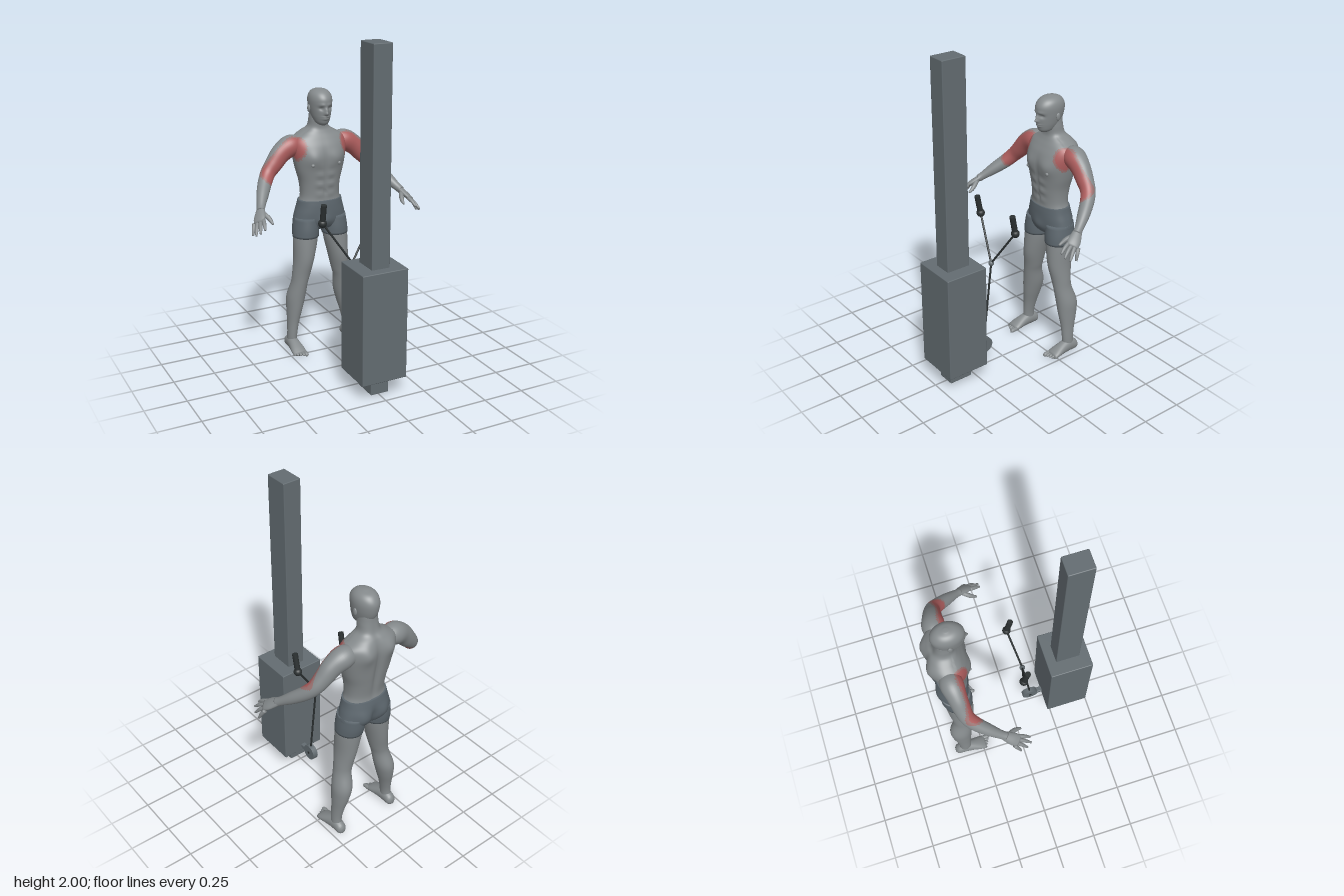
import * as THREE from 'three';
import { RoundedBoxGeometry } from 'three/addons/geometries/RoundedBoxGeometry.js';

const mat = (name, color) => Object.assign(new THREE.MeshStandardMaterial({ color }), { name });
const V = (x, y, z) => new THREE.Vector3(x, y, z);
const X = V(1, 0, 0), Y = V(0, 1, 0), Z = V(0, 0, 1);
const bell = (v, centre, spread) => Math.exp(-(((v - centre) / spread) ** 2));

// Skin over rows of [x, y, z, radiusU, radiusV]. U follows axis; dir fixes the ring plane.
function loft(rows, { axis = X, dir = null, seg = 24, sub = 4, power = 1, shape = null, paint = null } = {}) {
  const path = new THREE.CatmullRomCurve3(rows.map(r => V(r[0], r[1], r[2])), false, 'catmullrom');
  const radii = new THREE.CatmullRomCurve3(rows.map(r => V(r[3], r[4] ?? r[3], 0)), false, 'catmullrom');
  const steps = (rows.length - 1) * sub, pts = [];
  const soft = v => Math.sign(v) * Math.abs(v) ** power;
  for (let i = 0; i <= steps; i++) {
    const c = path.getPoint(i / steps), r = radii.getPoint(i / steps);
    const t = dir ? dir.clone() : path.getTangent(i / steps);
    const u = axis.clone().addScaledVector(t, -axis.dot(t)).normalize();
    const v = t.clone().cross(u);
    for (let j = 0; j < seg; j++) {
      const a = (j / seg) * Math.PI * 2;
      const p = c.clone().addScaledVector(u, soft(Math.cos(a)) * r.x).addScaledVector(v, soft(Math.sin(a)) * r.y);
      if (shape) shape(p);
      pts.push(p);
    }
  }
  const first = pts.length, last = first + 1;
  pts.push(path.getPoint(0), path.getPoint(1));
  const bins = [[], [], []];
  const tri = (a, b, c) => {
    const mid = pts[a].clone().add(pts[b]).add(pts[c]).divideScalar(3);
    bins[paint ? paint(mid) : 0].push(a, b, c);
  };
  for (let j = 0; j < seg; j++) {
    const k = (j + 1) % seg, end = steps * seg;
    for (let i = 0; i < steps; i++) {
      const a = i * seg + j, b = i * seg + k;
      tri(a, b, a + seg);
      tri(b, b + seg, a + seg);
    }
    tri(first, k, j);
    tri(last, end + j, end + k);
  }
  const geo = new THREE.BufferGeometry().setFromPoints(pts);
  geo.setIndex(bins.flat());
  if (paint) {
    let start = 0;
    bins.forEach((b, i) => { geo.addGroup(start, b.length, i); start += b.length; });
  }
  geo.computeVertexNormals();
  return geo;
}

// Horizontal rings from [y, halfWidth, zFront, zBack]
const rings = list => list.map(([y, w, f, b]) => [0, y, (f + b) / 2, w, (f - b) / 2]);

export function createModel() {
  const root = new THREE.Group();
  const skin = mat('skin grey', 0x858a8c), machine = mat('machine grey', 0x636c71);
  const cloth = mat('shorts grey', 0x5c666d), dark = mat('dark rubber', 0x2b3031);
  const red = mat('worked muscle red', 0xab5c5c), pale = mat('muscle edge red', 0x98706f);
  const body = [skin, pale, red];

  const add = (name, geo, material, parent = root) => {
    const m = new THREE.Mesh(geo, material);
    m.name = name;
    parent.add(m);
    return m;
  };
  const rod = (name, a, b, r, material, parent = root) => {
    const m = add(name, new THREE.CylinderGeometry(r, r, a.distanceTo(b), 20), material, parent);
    m.position.copy(a).lerp(b, 0.5);
    m.quaternion.setFromUnitVectors(Y, b.clone().sub(a).normalize());
    return m;
  };
  const ball = (name, p, r, material, scale = [1, 1, 1], parent = root) => {
    const m = add(name, new THREE.SphereGeometry(r, 20, 14), material, parent);
    m.position.copy(p);
    m.scale.set(...scale);
    return m;
  };
  const box = (name, w, h, d, x, y, z) =>
    add(name, new RoundedBoxGeometry(w, h, d, 2, 0.005), machine).position.set(x, y, z);

  // Cable machine
  box('post', 0.112, 1.99, 0.148, 0, 1.005, 0.352);
  box('weightHousing', 0.28, 0.66, 0.264, 0, 0.44, 0.352);
  box('pulleyArm', 0.032, 0.026, 0.09, 0, 0.145, 0.185);
  rod('pulley', V(-0.017, 0.145, 0.14), V(0.017, 0.145, 0.14), 0.05, machine);
  rod('pulleyAxle', V(-0.02, 0.145, 0.14), V(0.02, 0.145, 0.14), 0.008, dark);
  const joint = V(0, 0.69, 0.083);
  rod('mainCable', V(0, 0.16, 0.142), joint, 0.006, dark);
  ball('cableJoint', joint, 0.017, machine);
  for (const s of [1, -1]) {
    const grip = V(0.166 * s, 0.94, 0.035);
    rod('handleCable', joint, grip, 0.006, dark);
    ball('handleBall', grip, 0.025, dark);
    rod('handle', grip, V(0.167 * s, 1.055, 0.058), 0.017, dark);
  }

  // Front of the shoulder and upper arm is red with a paler rim
  const paint = p => {
    const q = V(Math.abs(p.x), p.y, p.z);
    const seg = new THREE.Line3(V(0.175, 1.3, -0.315), V(0.32, 1.16, -0.315));
    const d = seg.closestPointToPoint(q, true, V()).distanceTo(q);
    return d < 0.063 ? 2 : d < 0.075 ? 1 : 0;
  };

  // Torso and neck: chest, abdomen, shoulder blades and spine groove
  const torso = rings([
    [0.95, 0.134, -0.27, -0.443], [1.0, 0.122, -0.27, -0.44], [1.08, 0.128, -0.262, -0.452],
    [1.16, 0.149, -0.254, -0.465], [1.24, 0.165, -0.25, -0.476], [1.3, 0.172, -0.262, -0.478],
    [1.345, 0.16, -0.285, -0.47], [1.38, 0.108, -0.305, -0.455], [1.41, 0.065, -0.315, -0.432],
    [1.46, 0.056, -0.312, -0.42], [1.51, 0.052, -0.31, -0.415]]);
  add('torso', loft(torso, {
    dir: Y, seg: 96, sub: 6, power: 0.88, paint,
    shape: p => {
      const x = Math.abs(p.x);
      if (p.z > -0.34) {
        p.z += 0.014 * bell(x, 0.075, 0.05) * bell(p.y, 1.23, 0.05);
        p.z -= 0.005 * bell(x, 0, 0.01) * bell(p.y, 1.12, 0.12);
        p.z += 0.004 * bell(x, 0.035, 0.025) * bell(p.y, 1.08, 0.09) * Math.cos(p.y * 100);
        p.z -= 0.008 * bell(x, 0, 0.008) * bell(p.y, 1.02, 0.009);
      } else {
        p.z += 0.016 * bell(x, 0, 0.02) * bell(p.y, 1.18, 0.17);
        p.z -= 0.02 * bell(x, 0.08, 0.045) * bell(p.y, 1.31, 0.06);
      }
    } }), body);

  // Head with brow, eye sockets, nose, lips and chin
  const head = rings([
    [1.427, 0.018, -0.28, -0.34], [1.442, 0.038, -0.263, -0.365], [1.47, 0.051, -0.254, -0.4],
    [1.5, 0.059, -0.25, -0.42], [1.54, 0.066, -0.248, -0.432], [1.58, 0.068, -0.246, -0.434],
    [1.61, 0.06, -0.262, -0.42], [1.63, 0.04, -0.29, -0.395], [1.639, 0.012, -0.33, -0.355]]);
  add('head', loft(head, {
    dir: Y, seg: 96, sub: 8,
    shape: p => {
      if (p.z < -0.31) return;
      const x = Math.abs(p.x);
      p.z += 0.02 * bell(x, 0, 0.011) * (bell(p.y, 1.502, 0.011) + 0.6 * bell(p.y, 1.522, 0.015));
      p.z -= 0.01 * bell(x, 0.027, 0.014) * bell(p.y, 1.532, 0.011);
      p.z += 0.005 * bell(x, 0.022, 0.022) * bell(p.y, 1.553, 0.01);
      p.z += 0.007 * bell(x, 0, 0.02) * (bell(p.y, 1.481, 0.004) + bell(p.y, 1.469, 0.005));
    } }), skin);

  // Shorts: pelvis with buttocks
  add('shortsPelvis', loft(rings([
    [0.968, 0.138, -0.267, -0.447], [0.93, 0.146, -0.264, -0.455], [0.88, 0.16, -0.264, -0.46],
    [0.83, 0.168, -0.27, -0.455], [0.79, 0.15, -0.29, -0.43], [0.775, 0.09, -0.32, -0.4]]).reverse(), {
    dir: Y, seg: 72, sub: 6, power: 0.9,
    shape: p => {
      const x = Math.abs(p.x);
      if (p.z > -0.355) p.z += 0.01 * bell(x, 0, 0.04) * bell(p.y, 0.84, 0.04);
      else p.z += 0.02 * bell(x, 0, 0.02) * bell(p.y, 0.84, 0.06) - 0.012 * bell(x, 0.075, 0.04) * bell(p.y, 0.86, 0.05);
    } }), cloth);

  for (const s of [1, -1]) {
    const side = new THREE.Group();
    side.name = s > 0 ? 'leftLimbs' : 'rightLimbs';
    root.add(side);
    const flip = rows => rows.map(([x, ...rest]) => [x * s, ...rest]);
    const at = (x, y, z) => V(x * s, y, z);

    ball('ear', at(0.069, 1.525, -0.345), 0.02, skin, [0.4, 1.15, 0.7], side);
    ball('nipple', at(0.085, 1.197, -0.256), 0.011, skin, [1, 1, 0.8], side);

    // Legs
    add('shortsLeg', loft(flip([
      [0.098, 0.738, -0.35, 0.08, 0.087], [0.095, 0.79, -0.355, 0.08, 0.092],
      [0.09, 0.86, -0.36, 0.075, 0.09]]), { dir: Y, seg: 36 }), cloth, side);
    add('leg', loft(flip([
      [0.195, 0.03, -0.367, 0.03, 0.04], [0.193, 0.1, -0.362, 0.03, 0.038],
      [0.184, 0.18, -0.366, 0.036, 0.046], [0.171, 0.27, -0.371, 0.049, 0.062],
      [0.16, 0.35, -0.37, 0.057, 0.069], [0.144, 0.44, -0.351, 0.051, 0.06],
      [0.132, 0.5, -0.346, 0.055, 0.063], [0.115, 0.6, -0.344, 0.062, 0.078],
      [0.1, 0.73, -0.35, 0.075, 0.083], [0.092, 0.83, -0.355, 0.07, 0.08]]),
    { dir: Y, seg: 36, sub: 5 }), skin, side);

    // Foot and toes
    add('foot', loft(flip([
      [0.195, 0.03, -0.432, 0.014, 0.016], [0.195, 0.035, -0.415, 0.031, 0.034],
      [0.195, 0.043, -0.37, 0.034, 0.044], [0.196, 0.037, -0.32, 0.037, 0.038],
      [0.197, 0.025, -0.265, 0.044, 0.026], [0.197, 0.016, -0.23, 0.043, 0.015]]),
    { dir: Z, shape: p => { p.y = Math.max(p.y, 0.002); } }), skin, side);
    for (let i = 0; i < 5; i++) {
      const x = 0.166 + i * 0.0165, r = i ? 0.009 : 0.013, tip = -0.194 - i * 0.008;
      add('toe', loft(flip([[x, 0.018, -0.25, r], [x, 0.015, tip - 0.012, r], [x, 0.012, tip, r * 0.4]]),
        { dir: Z, seg: 12 }), skin, side);
    }

    // Arm
    add('arm', loft(flip([
      [0.11, 1.3, -0.388, 0.05, 0.05], [0.175, 1.302, -0.382, 0.066, 0.065],
      [0.24, 1.265, -0.373, 0.056, 0.06], [0.29, 1.21, -0.364, 0.05, 0.053],
      [0.335, 1.16, -0.35, 0.043, 0.045], [0.37, 1.115, -0.315, 0.04, 0.042],
      [0.41, 1.065, -0.255, 0.035, 0.036], [0.445, 1.02, -0.195, 0.026, 0.025],
      [0.46, 1.0, -0.165, 0.025, 0.022]]), { axis: Z, seg: 40, sub: 7, paint }), body, side);

    // Hand: palm, four fingers and thumb
    add('palm', loft(flip([
      [0.446, 1.018, -0.192, 0.02, 0.018], [0.464, 0.995, -0.16, 0.03, 0.018],
      [0.482, 0.972, -0.128, 0.037, 0.017], [0.497, 0.955, -0.1, 0.033, 0.011]]),
    { axis: V(0.67 * s, -0.33, -0.67) }), skin, side);
    const tips = [[0.488, 0.928, -0.032], [0.515, 0.91, -0.034], [0.532, 0.893, -0.06], [0.536, 0.882, -0.1]];
    tips.forEach((t, i) => {
      const k = [0.472 + i * 0.014, 0.967 - i * 0.008, -0.095 - i * 0.012];
      const m = k.map((v, n) => v * 0.45 + t[n] * 0.55 + (n === 1 ? 0.005 : 0));
      add('finger', loft(flip([[...k, 0.012], [...m, 0.011], [...t, 0.006]]), { axis: X, seg: 12 }), skin, side);
    });
    add('thumb', loft(flip([
      [0.458, 0.995, -0.155, 0.014], [0.436, 0.972, -0.115, 0.014],
      [0.428, 0.955, -0.09, 0.011], [0.426, 0.943, -0.068, 0.006]]), { axis: X, seg: 14 }), skin, side);
  }
  return root;
}
